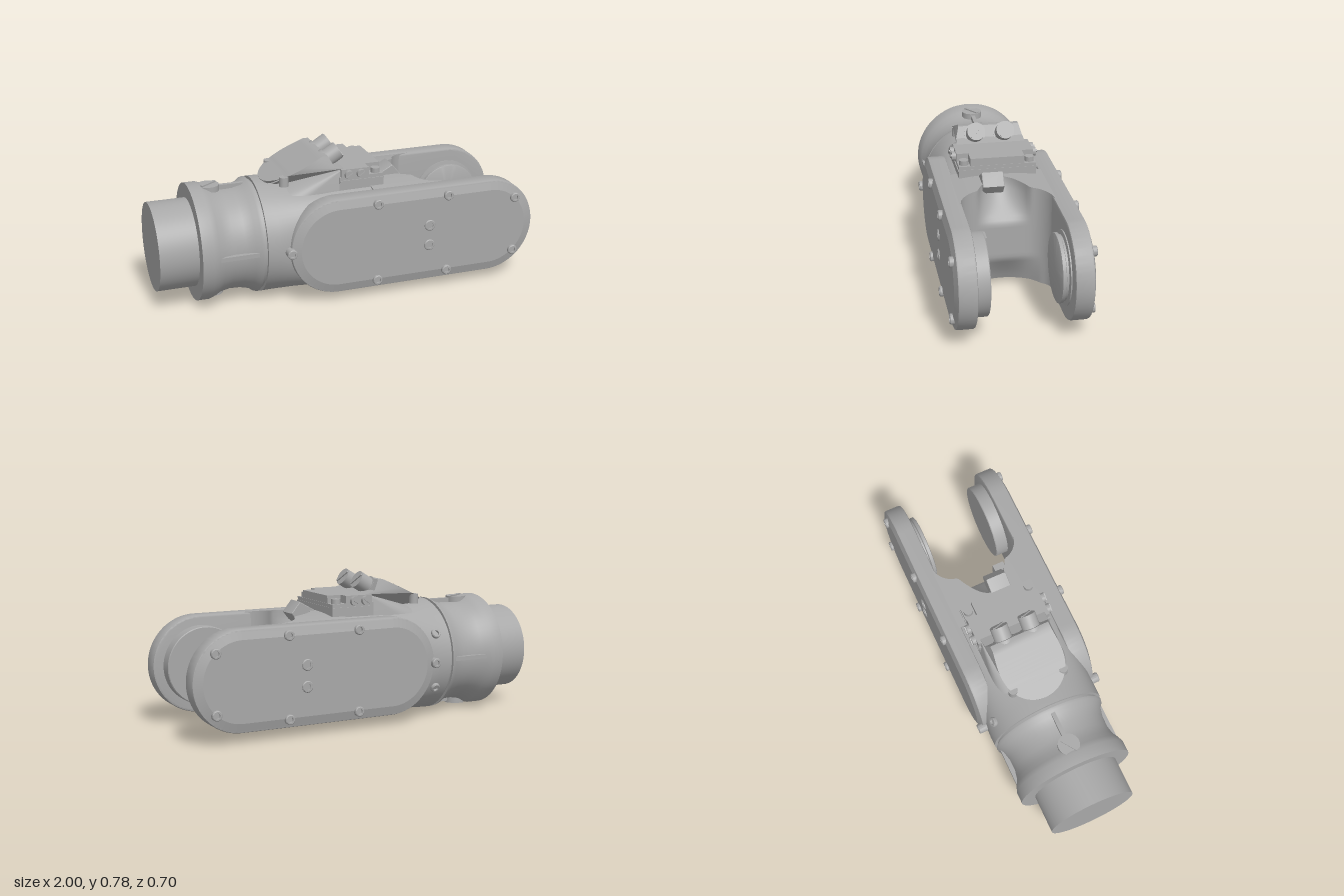
import * as THREE from 'three';
import { toCreasedNormals } from 'three/addons/utils/BufferGeometryUtils.js';

const metal = new THREE.MeshStandardMaterial({ color: 0xa8a8a8 });
metal.name = 'machined grey';
const CY = 0.31; // height of the main axis

function add(parent, name, geo, pos = [0, 0, 0], rot = [0, 0, 0], crease = 0.55) {
  const mesh = new THREE.Mesh(toCreasedNormals(geo, crease), metal);
  mesh.name = name;
  mesh.position.set(...pos);
  mesh.rotation.set(...rot);
  parent.add(mesh);
  return mesh;
}

const box = (w, h, d) => new THREE.BoxGeometry(w, h, d);
const cyl = (r, h, n = 24) => new THREE.CylinderGeometry(r, r, h, n);

// Moves every vertex of a geometry by a rule
function bend(geo, rule) {
  const p = geo.attributes.position, v = new THREE.Vector3();
  for (let i = 0; i < p.count; i++) {
    rule(v.fromBufferAttribute(p, i));
    p.setXYZ(i, v.x, v.y, v.z);
  }
  return geo;
}

// Solid of revolution along x from [x, radius] pairs
function turned(profile, n = 64) {
  return new THREE.LatheGeometry(profile.map(([x, r]) => new THREE.Vector2(r, x)), n).rotateZ(-Math.PI / 2);
}

// Long rounded plate outline, centred on the main axis
function stadium(r) {
  const s = new THREE.Shape();
  s.absarc(0.745, 0, r, -Math.PI / 2, Math.PI / 2, false);
  s.absarc(-0.095, 0, r, Math.PI / 2, Math.PI * 1.5, false);
  s.closePath();
  return s;
}

// Loft through rounded sections [x, centre y, half height, half width, squareness]
function loft(rings, n = 64) {
  const pos = [], idx = [];
  for (const [x, cy, hy, hz, e] of rings) {
    for (let j = 0; j < n; j++) {
      const a = (j / n) * Math.PI * 2, c = Math.cos(a), s = Math.sin(a);
      pos.push(x, cy + hy * Math.sign(c) * Math.abs(c) ** (2 / e), hz * Math.sign(s) * Math.abs(s) ** (2 / e));
    }
  }
  for (let i = 0; i < rings.length - 1; i++) {
    for (let j = 0; j < n; j++) {
      const a = i * n + j, b = i * n + (j + 1) % n;
      idx.push(a, b, b + n, a, b + n, a + n);
    }
  }
  const g = new THREE.BufferGeometry();
  g.setAttribute('position', new THREE.Float32BufferAttribute(pos, 3));
  g.setIndex(idx);
  return g;
}

// Socket-head bolt pointing along +z
function bolt(parent, x, y, z, r = 0.026) {
  const p = [[0, -0.05], [r, -0.05], [r, -0.004], [r - 0.004, 0], [r * 0.55, 0], [r * 0.55, -0.012], [0, -0.012]];
  const g = new THREE.LatheGeometry(p.map(([a, b]) => new THREE.Vector2(a, b)), 18).rotateX(Math.PI / 2);
  return add(parent, 'bolt', g, [x, y, z]);
}

// One fork arm with its cover, built facing +z around the axis
function arm(name) {
  const g = new THREE.Group();
  g.name = name;
  add(g, 'armPlate', new THREE.ExtrudeGeometry(stadium(0.245), {
    depth: 0.075, bevelThickness: 0.01, bevelSize: 0.01, bevelSegments: 2, curveSegments: 32 }), [0, 0, 0.238]);
  add(g, 'armCover', new THREE.ExtrudeGeometry(stadium(0.205), {
    depth: 0.01, bevelThickness: 0.012, bevelSize: 0.04, bevelSegments: 1, curveSegments: 32 }), [0, 0, 0.313], [0, 0, 0], 0.2);
  const spots = [[-0.35, 0], [0.11, 0.21], [0.11, -0.21], [0.5, 0.21], [0.5, -0.21], [0.885, 0.15], [0.885, -0.15]];
  for (const [x, y] of spots) bolt(g, x, y, 0.35);
  for (const s of [1, -1]) bolt(g, 0.4, s * 0.055, 0.342, 0.03);
  g.position.y = CY;
  return g;
}

export function createModel() {
  const model = new THREE.Group();
  model.name = 'forkJoint';

  // Input shaft and waisted collar
  add(model, 'shaft', turned([[-1, 0], [-1, 0.23], [-0.78, 0.23], [-0.78, 0]]), [0, CY, 0]);
  add(model, 'collar', turned([[-0.8, 0], [-0.8, 0.306], [-0.74, 0.306], [-0.71, 0.295], [-0.68, 0.278], [-0.63, 0.268],
    [-0.57, 0.27], [-0.52, 0.282], [-0.495, 0.3], [-0.482, 0.303], [-0.482, 0.288], [-0.464, 0.288], [-0.464, 0]]), [0, CY, 0]);

  // Collar ribs and the round bosses at top and bottom
  for (let i = 0; i < 4; i++) {
    const g = new THREE.Group();
    g.name = 'collarRib';
    g.position.y = CY;
    g.rotation.x = i * Math.PI / 2;
    add(g, 'rib', box(0.24, 0.06, 0.022), [-0.605, 0.262, 0]);
    if (i % 2 === 0) {
      add(g, 'boss', cyl(0.056, 0.07), [-0.69, 0.266, 0]);
      add(g, 'bossBlade', box(0.1, 0.01, 0.018), [-0.69, 0.303, 0], [0, 0.6, 0]);
    }
    model.add(g);
  }

  // Main body, round at the collar and squarer towards the fork
  add(model, 'body', loft([[-0.464, CY, 0, 0, 2], [-0.464, CY, 0.303, 0.305, 2], [-0.4, CY, 0.3, 0.305, 2.05],
    [-0.3, CY, 0.288, 0.302, 2.4], [-0.2, CY, 0.278, 0.3, 3], [-0.05, CY, 0.274, 0.3, 3.6],
    [0.2, CY, 0.272, 0.3, 4], [0.2, CY, 0, 0, 2]]));

  // Fork web with filleted sides and scooped upper and lower edges
  const web = bend(new THREE.BoxGeometry(0.255, 0.51, 0.48, 6, 28, 40), (v) => {
    const k = (v.x + 0.1275) / 0.255, z = Math.abs(v.z), y = v.y;
    const t = Math.max(0, (z - 0.12) / 0.12);
    let end = 0.375 + 0.14 * (1 - Math.sqrt(Math.max(0, 1 - t * t)));
    const hollow = Math.max(0, 1 - (v.z / 0.135) ** 2);
    if (y > 0.08) end -= 0.15 * hollow * Math.min(1, (y - 0.08) / 0.16);
    if (y < -0.12) end -= 0.09 * Math.max(0, 1 - (v.z / 0.19) ** 2) * (-y - 0.12) / 0.135;
    v.x = 0.12 + k * (end - 0.12);
    v.y += Math.sign(y) * (Math.abs(y) / 0.255) ** 8 * 0.02 * (1 - (z / 0.24) ** 2);
  });
  add(model, 'forkWeb', web, [0, CY, 0]);

  // Fork arms
  const left = arm('frontArm'), right = arm('backArm');
  right.rotation.x = Math.PI;
  model.add(left, right);

  // Bearing discs inside the arms
  const disc = (name, pts, s) => add(model, name, new THREE.LatheGeometry(pts.map(([r, z]) => new THREE.Vector2(r, z)), 56),
    [0.74, CY, s * 0.24], [-s * Math.PI / 2, 0, 0]);
  disc('frontBearing', [[0, 0], [0.205, 0], [0.205, 0.076], [0.201, 0.08], [0, 0.08]], 1);
  disc('backBearing', [[0, 0], [0.185, 0], [0.185, 0.018], [0.162, 0.022], [0.162, 0.032],
    [0.172, 0.036], [0.172, 0.052], [0.166, 0.055], [0, 0.055]], -1);

  // Stop block and lug in the fork opening
  add(model, 'stopBlock', box(0.13, 0.115, 0.062), [0.39, 0.297, 0.13]);
  const lug = new THREE.Shape([[0.18, 0.53], [0.2, 0.585], [0.28, 0.63], [0.325, 0.575], [0.29, 0.53]]
    .map(([x, y]) => new THREE.Vector2(x, y)));
  add(model, 'lug', new THREE.ExtrudeGeometry(lug, { depth: 0.094, bevelThickness: 0.008, bevelSize: 0.004, bevelSegments: 2 }),
    [0, 0, -0.004]);

  // Sloping hood of the connector housing, rounded towards the collar
  const top = [];
  for (let i = 0; i <= 20; i++) {
    const x = -0.42 + 0.29 * (i / 20) ** 1.6;
    top.push(new THREE.Vector2(x, 0.612 + 0.133 * (x + 0.42) / 0.29));
  }
  top.push(new THREE.Vector2(-0.1, 0.745), new THREE.Vector2(-0.07, 0.69), new THREE.Vector2(-0.02, 0.675));
  const low = top.slice().reverse().map((p) => new THREE.Vector2(p.x, 0.56));
  const hood = bend(new THREE.ExtrudeGeometry(new THREE.Shape([...low, ...top]), { depth: 0.4, bevelEnabled: false }), (v) => {
    const u = Math.max(0, (-0.2 - v.x) / 0.22);
    const narrow = 1 - 0.2 * Math.max(0, (v.y - 0.61) / 0.135);
    v.z = (v.z - 0.2) * Math.sqrt(Math.max(0, 1 - u * u)) * narrow;
  });
  add(model, 'hood', hood);

  // Flat connector deck with stepped corners
  add(model, 'deckBase', box(0.24, 0.085, 0.4), [0.07, 0.5925, 0]);
  add(model, 'deckRear', box(0.15, 0.06, 0.4), [0.035, 0.645, 0]);
  add(model, 'deckNose', box(0.1, 0.06, 0.28), [0.138, 0.645, 0]);
  add(model, 'deckLip', box(0.24, 0.008, 0.41), [0.072, 0.613, 0]);

  for (const s of [1, -1]) {
    // Deck, hood and side screws
    for (const [x, y, z] of [[0.155, 0.645, 0.17], [-0.33, 0.64, 0.14]])
      add(model, 'deckScrew', cyl(0.024, 0.05, 18), [x, y - 0.01, s * z]);
    for (const x of [0.0, 0.065]) {
      add(model, 'sideScrew', cyl(0.024, 0.03, 18), [x, 0.647, s * 0.205], [Math.PI / 2, 0, 0]);
      add(model, 'sideScrewBlade', box(0.04, 0.01, 0.012), [x, 0.647, s * 0.221], [0, 0, 0.6]);
    }

    // Tilted cable connectors with a slotted end
    const plug = new THREE.Group();
    plug.name = 'connector';
    plug.position.set(-0.085, 0.702, s * 0.077);
    plug.rotation.z = -1.02;
    add(plug, 'connectorSocket', cyl(0.056, 0.06, 28), [0, -0.02, 0]);
    add(plug, 'connectorBarrel', cyl(0.047, 0.11, 28), [0, 0.025, 0]);
    add(plug, 'connectorBlade', box(0.012, 0.008, 0.085), [0, 0.082, 0], [0, 0.8, 0]);
    model.add(plug);

    // Body bolts near the collar on the back side
    const b = bolt(model, -0.385, CY + s * 0.15, -0.285);
    b.rotation.set(Math.PI + s * 0.5, 0, 0);
  }
  return model;
}
